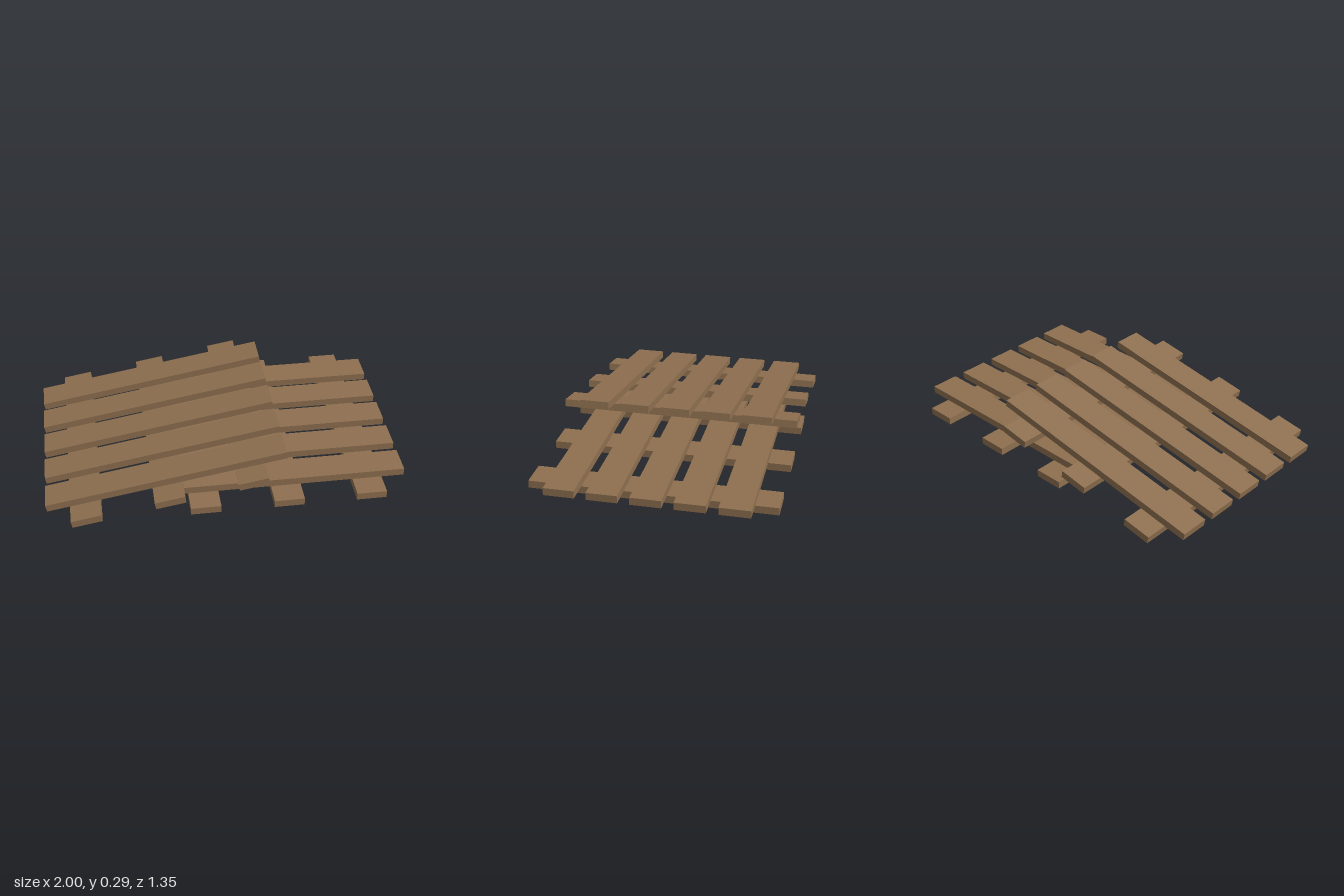
import * as THREE from 'three';

const LENGTH = 1.345;   // slat and runner length
const WIDTH = 0.167;    // board width
const THICK = 0.042;    // board thickness
const SLAT_STEP = 0.2315;
const RUNNER_STEP = 0.4615;

// One pallet: five slats centred on the origin, three runners beneath
function createPallet(name, wood) {
  const pallet = new THREE.Group();
  pallet.name = name;

  const slatGeometry = new THREE.BoxGeometry(LENGTH, THICK, WIDTH);
  for (let i = -2; i <= 2; i++) {
    const slat = new THREE.Mesh(slatGeometry, wood);
    slat.name = 'slat';
    slat.position.z = i * SLAT_STEP;
    pallet.add(slat);
  }

  const runnerGeometry = new THREE.BoxGeometry(WIDTH, THICK, LENGTH);
  for (let i = -1; i <= 1; i++) {
    const runner = new THREE.Mesh(runnerGeometry, wood);
    runner.name = 'runner';
    runner.position.set(i * RUNNER_STEP, -THICK, 0);
    pallet.add(runner);
  }
  return pallet;
}

export function createModel() {
  const model = new THREE.Group();
  model.name = 'stackedPallets';

  const wood = new THREE.MeshStandardMaterial({ color: 0x8f7050 });
  wood.name = 'brown wood';

  // Pallet lying flat
  const flat = createPallet('flatPallet', wood);
  flat.position.set(0.3275, 0.082, 0);
  model.add(flat);

  // Pallet leaning over the end of the flat one
  const leaning = createPallet('leaningPallet', wood);
  leaning.position.set(-0.334, 0.1575, 0);
  leaning.rotation.z = THREE.MathUtils.degToRad(10);
  model.add(leaning);

  return model;
}
